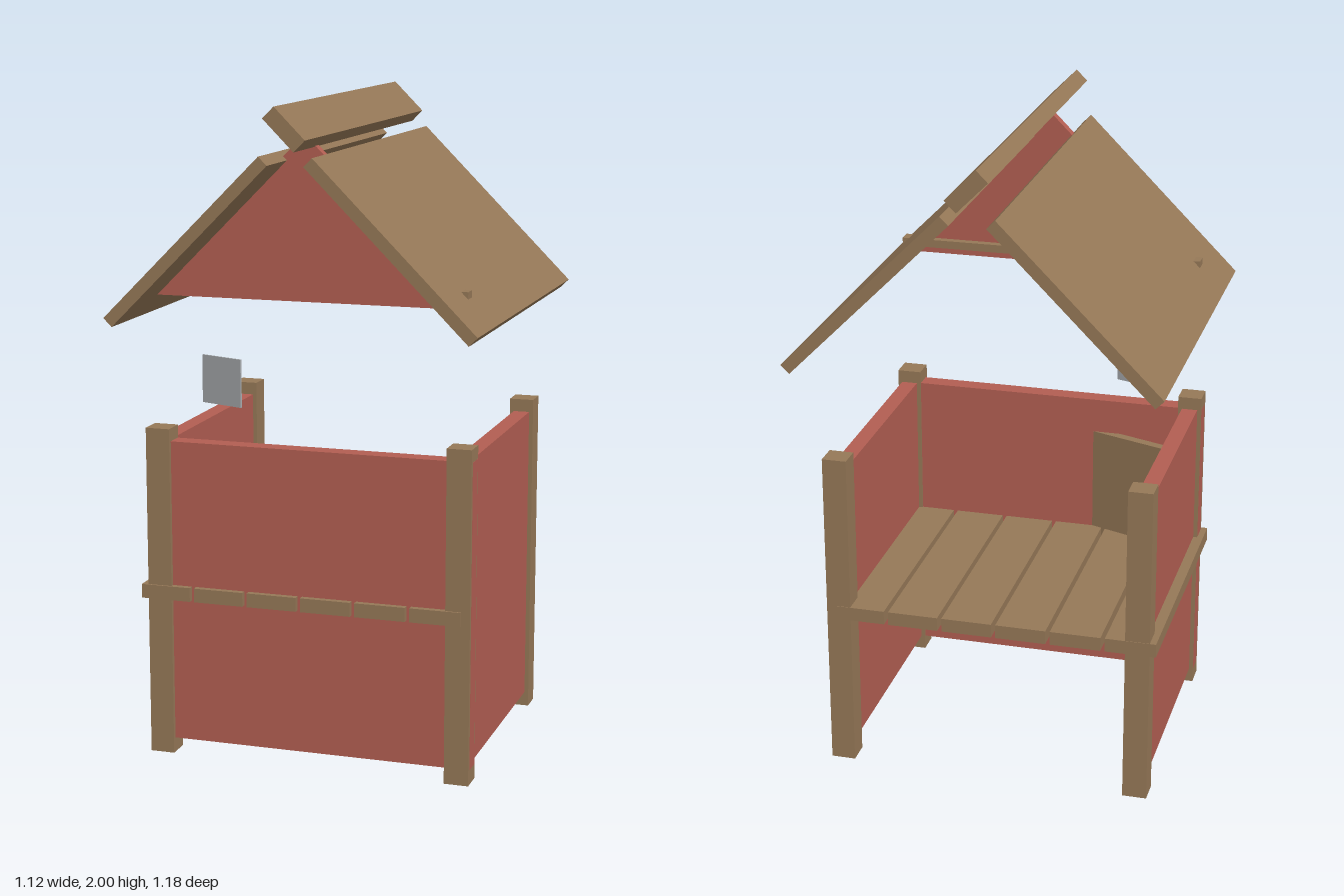
import * as THREE from 'three';

const wood = new THREE.MeshStandardMaterial({ color: 0x957857 });
const red = new THREE.MeshStandardMaterial({ color: 0xb25e52 });
const grey = new THREE.MeshStandardMaterial({ color: 0xa8abae });

export function createModel() {
  const model = new THREE.Group();
  model.name = 'hutch';

  const box = (name, material, size, position) => {
    const mesh = new THREE.Mesh(new THREE.BoxGeometry(...size), material);
    mesh.name = name;
    mesh.position.set(...position);
    model.add(mesh);
    return mesh;
  };

  for (const side of [-1, 1]) {
    // Corner posts
    for (const end of [-1, 1]) {
      box('cornerPost', wood, [0.075, 1.02, 0.073], [side * 0.468, 0.51, end * 0.382]);
    }
    // Side walls between the posts
    box('sideWall', red, [0.05, 0.935, 0.72], [side * 0.468, 0.513, 0]);
    // Sloping roof boards
    const roof = box('roofBoard', wood, [0.682, 0.036, 1.165], [side * 0.308, 1.605, 0.002]);
    roof.rotation.z = -side * Math.PI / 4;
  }

  // Front wall, its ends just showing through the posts
  box('frontWall', red, [1.012, 0.935, 0.055], [0, 0.513, 0.378]);

  // Floor planks, the row shifted a little to one side
  for (let i = 0; i < 6; i++) {
    box('floorPlank', wood, [0.156, 0.043, 0.845], [-0.447 + i * 0.1695, 0.512, 0.002]);
  }

  // Upright board set across the front corner
  const yaw = -0.345;
  box('cornerBoard', wood, [0.375, 0.74, 0.03], [-0.31, 0.5, 0.31]).rotation.y = yaw;
  // Small thin pane above it
  box('pane', grey, [0.15, 0.147, 0.006], [-0.31, 1.15, 0.285]).rotation.y = yaw;

  // Front gable
  const triangle = new THREE.Shape();
  triangle.moveTo(-0.485, 1.425);
  triangle.lineTo(0.485, 1.425);
  triangle.lineTo(0, 1.91);
  triangle.closePath();
  const gable = new THREE.Mesh(
    new THREE.ExtrudeGeometry(triangle, { depth: 0.03, bevelEnabled: false }), red);
  gable.name = 'gable';
  gable.position.z = 0.382;
  model.add(gable);

  // Cross bar behind the gable, its ends poking through the roof
  box('crossBar', wood, [0.97, 0.025, 0.044], [0, 1.462, 0.379]);

  // Ridge board laid along the top at an angle
  box('ridgeBoard', wood, [0.13, 0.048, 1.185], [0, 1.937, 0.002]).rotation.z = -Math.PI / 4;

  return model;
}
